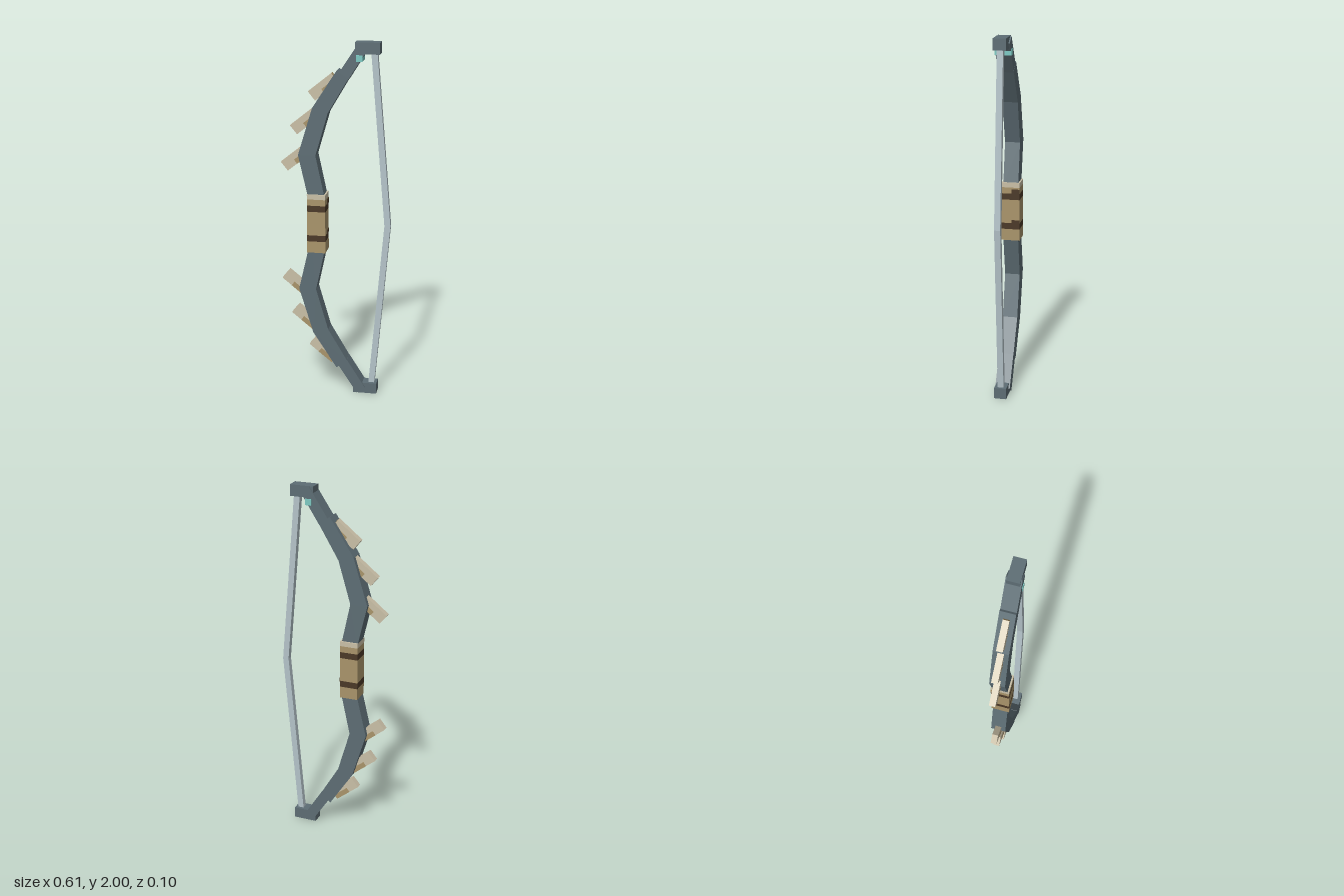
import * as THREE from 'three';

const mat = (name, color) => {
  const m = new THREE.MeshStandardMaterial({ color });
  m.name = name;
  return m;
};

export function createModel() {
  const slate = mat('slate', 0x5d6d74);
  const cord = mat('pale cord', 0xb4c3c9);
  const bone = mat('bone', 0xc9bfa6);
  const tan = mat('tan', 0xa9946a);
  const brown = mat('dark brown', 0x4a3826);
  const teal = mat('teal', 0x7cc9c2);

  const bow = new THREE.Group();
  bow.name = 'bow';

  const add = (name, geometry, material, parent = bow) => {
    const mesh = new THREE.Mesh(geometry, material);
    mesh.name = name;
    parent.add(mesh);
    return mesh;
  };
  // Box given by its limits on each axis
  const box = (name, [x0, x1], [y0, y1], [z0, z1], material, parent) => {
    const mesh = add(name, new THREE.BoxGeometry(x1 - x0, y1 - y0, z1 - z0), material, parent);
    mesh.position.set((x0 + x1) / 2, (y0 + y1) / 2, (z0 + z1) / 2);
    return mesh;
  };
  // Flat outline extruded evenly to both sides of z = 0
  const prism = (name, points, halfDepth, material) => {
    const shape = new THREE.Shape(points.map(([x, y]) => new THREE.Vector2(x, y)));
    const g = new THREE.ExtrudeGeometry(shape, { depth: halfDepth * 2, bevelEnabled: false });
    return add(name, g.translate(0, 0, -halfDepth), material);
  };
  const flip = ([x, y]) => [x, 2 - y];

  // Bent limbs, one outline running through the grip
  const outer = [[-0.15, 1.15], [-0.204, 1.384], [-0.125, 1.645], [0.008, 1.85]];
  const inner = [[-0.058, 1.15], [-0.108, 1.384], [-0.04, 1.62], [0.071, 1.808]];
  const upper = [...outer, ...inner.slice().reverse()];
  prism('limbs', [...upper, ...upper.map(flip).reverse()], 0.042, slate);

  // Slimmer limb ends and the tip blocks
  const end = [[0.018, 1.835], [0.068, 1.8], [0.173, 1.966], [0.125, 1.998]];
  prism('upperLimbEnd', end, 0.0415, slate);
  prism('lowerLimbEnd', end.map(flip), 0.0415, slate);
  box('upperTip', [0.104, 0.236], [1.938, 2], [-0.034, 0.034], slate);
  box('lowerTip', [0.104, 0.236], [0, 0.062], [-0.034, 0.034], slate);

  // Teal band below the upper tip
  box('tealBand', [0.112, 0.146], [1.9, 1.934], [-0.045, 0.045], teal);

  // Wrapped grip, stacked from bands
  const levels = [0.835, 0.9, 0.935, 1.07, 1.105, 1.14, 1.167];
  [tan, brown, tan, brown, tan, bone].forEach((m, i) => {
    box('gripBand' + (i + 1), [-0.155, -0.053], [levels[i], levels[i + 1]], [-0.051, 0.051], m);
  });
  // Stepped parts of the dark bands
  box('upperBandStep', [-0.054, -0.052], [1.1, 1.13], [-0.051, -0.005], brown);
  box('lowerBandStep', [-0.054, -0.052], [0.93, 0.953], [-0.051, -0.005], brown);

  // Drawn string, square in section
  const h = 0.0165;
  const string = [[0.203, 1.96], [0.285, 1]];
  const back = string.map(([x, y]) => [x - h, y]);
  const front = string.map(([x, y]) => [x + h, y]);
  prism('string', [
    ...back, flip(back[0]), flip(front[0]), front[1], front[0],
  ], h, cord);

  // Fins along the limbs, with a tan inner corner
  const fins = [[-0.069, 1.756], [-0.169, 1.568], [-0.222, 1.363]];
  for (const side of [1, -1]) {
    fins.forEach(([x, y], i) => {
      const fin = new THREE.Group();
      fin.name = (side > 0 ? 'upperFin' : 'lowerFin') + (i + 1);
      fin.position.set(x, side > 0 ? y : 2 - y, 0);
      fin.rotation.z = side * 0.677;
      bow.add(fin);
      box('finBlade', [-0.0815, 0.0815], [-0.031, 0.031], [-0.017, 0.017], bone, fin);
      box('finCorner', [-0.015, 0.082], [-0.0315, -0.003], [-0.0175, 0.0175], tan, fin);
      box('finEnd', [0.08, 0.0825], [-0.031, 0.031], [-0.017, 0.017], tan, fin);
    });
  }
  return bow;
}
